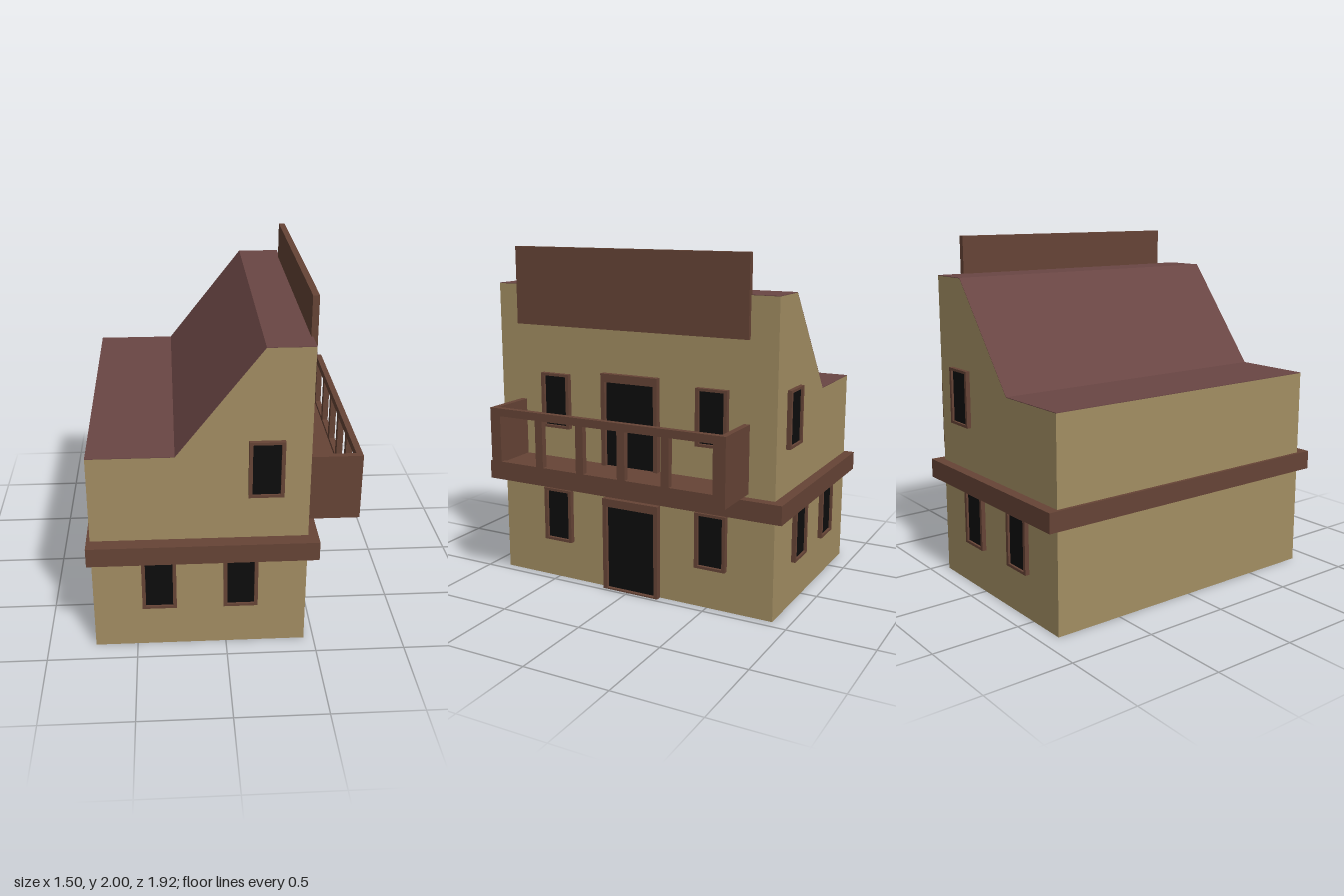
import * as THREE from 'three';

const mat = (color) => new THREE.MeshStandardMaterial({ color });
const wallMat = mat(0xa38e63), woodMat = mat(0x664436), roofMat = mat(0x6a4644), paneMat = mat(0x0d0d0d);

const FRONT = 0.88, BACK = -0.9, SIDE = 0.445;

function add(parent, name, geometry, material) {
  const mesh = new THREE.Mesh(geometry, material);
  mesh.name = name;
  parent.add(mesh);
  return mesh;
}

// Box given by its two extreme corners
function box(parent, name, [x0, y0, z0], [x1, y1, z1], material) {
  const g = new THREE.BoxGeometry(x1 - x0, y1 - y0, z1 - z0);
  g.translate((x0 + x1) / 2, (y0 + y1) / 2, (z0 + z1) / 2);
  return add(parent, name, g, material);
}

function rect(Type, x0, y0, x1, y1) {
  return new Type([[x0, y0], [x1, y0], [x1, y1], [x0, y1]].map((p) => new THREE.Vector2(...p)));
}

function extrude(shape, depth) {
  return new THREE.ExtrudeGeometry(shape, { depth, bevelEnabled: false });
}

// Framed dark opening in the xy plane, centred on x = 0, standing on y = 0, facing +z
function opening(name, w, h, { side = 0.02, top = 0.015, bottom = 0.015, depth = 0.025 } = {}) {
  const group = new THREE.Group();
  group.name = name;
  const shape = rect(THREE.Shape, -w / 2, 0, w / 2, h);
  shape.holes.push(rect(THREE.Path, -w / 2 + side, bottom, w / 2 - side, h - top));
  add(group, name + 'Frame', extrude(shape, depth), woodMat);
  box(group, name + 'Pane', [-w / 2 + side, bottom, 0], [w / 2 - side, h - top, 0.012], paneMat);
  return group;
}

export function createModel() {
  const house = new THREE.Group();
  house.name = 'house';

  // Walls: gable profile run along z
  const roofLine = [[-0.735, 1.185], [-0.27, 1.185], [0.195, 1.78], [SIDE, 1.78]];
  const v = (p) => new THREE.Vector2(...p);
  const walls = new THREE.Shape([[SIDE, 0], ...roofLine.slice().reverse(), [-0.735, 0]].map(v));
  add(house, 'walls', extrude(walls, FRONT - BACK).translate(0, 0, BACK), wallMat);

  // Roof skin laid over the profile
  const skin = new THREE.Shape([...roofLine, ...roofLine.map(([x, y]) => [x, y + 0.003]).reverse()].map(v));
  add(house, 'roof', extrude(skin, FRONT - BACK).translate(0, 0, BACK), roofMat);

  // Ledge between the storeys and sign board
  box(house, 'ledge', [-0.755, 0.58, -0.96], [0.5, 0.69, 0.96], woodMat);
  box(house, 'signBoard', [0.435, 1.55, -0.74], [0.47, 2, 0.74], woodMat);

  // Windows on the front and back walls
  for (const [x, y, h] of [[-0.37, 0.255, 0.315], [0.08, 0.255, 0.315], [0.21, 0.945, 0.325]]) {
    const front = opening('frontWindow', 0.19, h);
    front.position.set(x, y, FRONT);
    const back = opening('backWindow', 0.19, h);
    back.position.set(x, y, BACK);
    back.rotation.y = Math.PI;
    house.add(front, back);
  }

  // Windows and doors on the left wall
  const onLeft = (part, y, z) => {
    part.position.set(SIDE, y, z);
    part.rotation.y = Math.PI / 2;
    house.add(part);
  };
  for (const z of [0.485, -0.528]) {
    onLeft(opening('lowerWindow', 0.19, 0.325, { depth: 0.03 }), 0.24, z);
    onLeft(opening('upperWindow', 0.19, 0.325, { depth: 0.03 }), 0.945, z);
  }
  const doorTrim = { side: 0.025, top: 0.048, bottom: 0.008, depth: 0.035 };
  onLeft(opening('lowerDoor', 0.365, 0.56, doorTrim), 0, -0.018);
  onLeft(opening('upperDoor', 0.365, 0.59, doorTrim), 0.71, -0.018);

  // Balcony: floor, solid ends and a railing with five openings
  const balcony = new THREE.Group();
  balcony.name = 'balcony';
  house.add(balcony);
  box(balcony, 'balconyFloor', [SIDE, 0.71, -0.71], [0.715, 0.76, 0.71], woodMat);
  for (const s of [-1, 1]) {
    const z = [s * 0.71, s * 0.745].sort((a, b) => a - b);
    box(balcony, 'balconyEnd', [SIDE, 0.71, z[0]], [0.715, 1.095, z[1]], woodMat);
  }
  const railing = rect(THREE.Shape, -0.745, 0.71, 0.745, 1.095);
  const posts = [-0.41, -0.14, 0.125, 0.395], half = 0.024;
  const edges = [-0.677, ...posts.flatMap((p) => [p - half, p + half]), 0.673];
  for (let i = 0; i < edges.length; i += 2) {
    railing.holes.push(rect(THREE.Path, edges[i], 0.78, edges[i + 1], 1.05));
  }
  const rail = add(balcony, 'balconyRailing', extrude(railing, 0.035), woodMat);
  rail.rotation.y = Math.PI / 2;
  rail.position.x = 0.715;

  return house;
}
